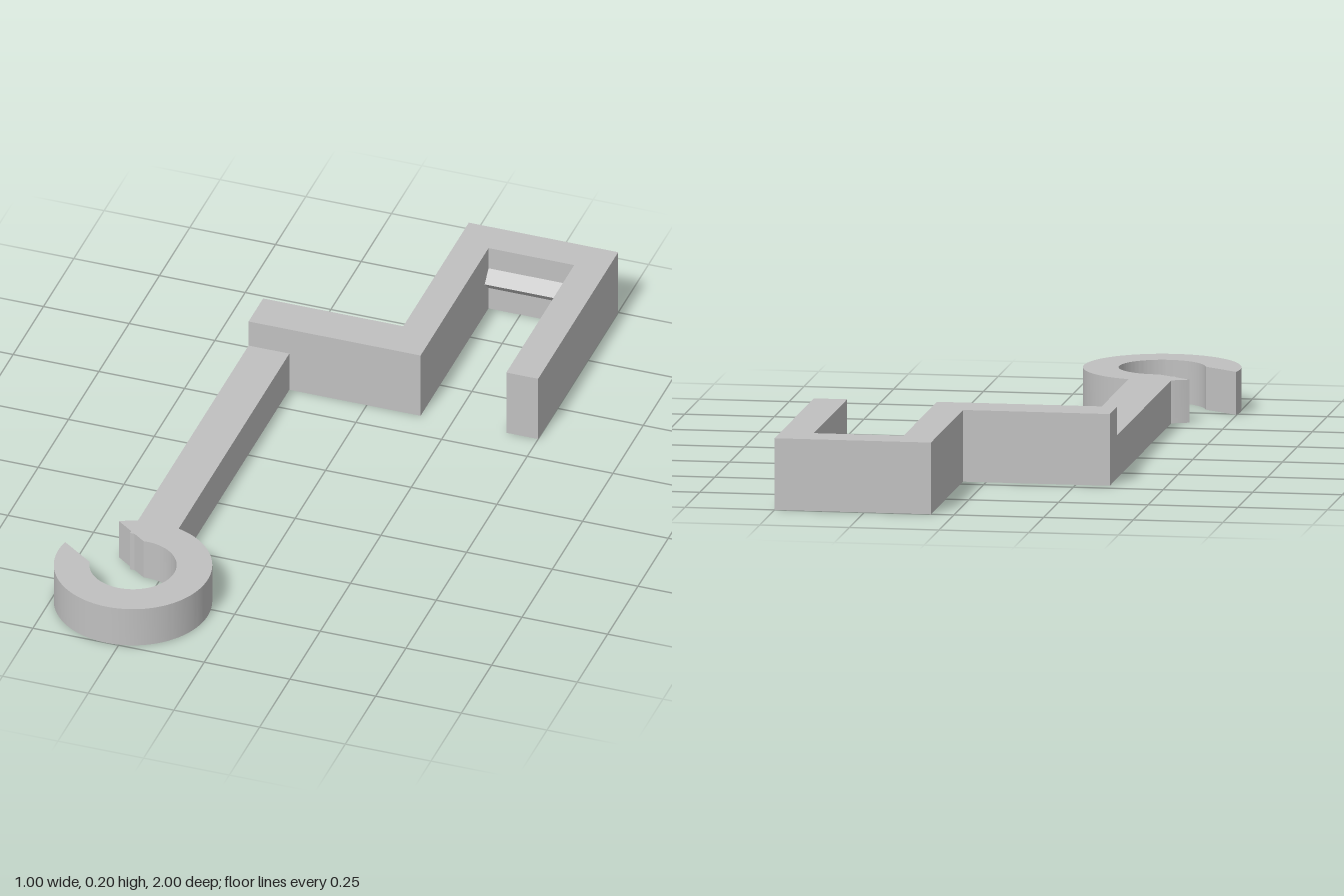
import * as THREE from 'three';
import { toCreasedNormals } from 'three/addons/utils/BufferGeometryUtils.js';

// Extrude a plan outline (drawn as x, -z) upward from the ground
function plate(shape, height) {
  const geo = new THREE.ExtrudeGeometry(shape, { depth: height, bevelEnabled: false, curveSegments: 72 });
  geo.rotateX(-Math.PI / 2);
  return toCreasedNormals(geo, 0.4);
}

const outline = (points) => new THREE.Shape(points.map(([x, z]) => new THREE.Vector2(x, -z)));

export function createModel() {
  const group = new THREE.Group();
  const grey = new THREE.MeshStandardMaterial({ color: 0xc0c0c0 });
  grey.name = 'grey';
  const add = (name, geo) => {
    const mesh = new THREE.Mesh(geo, grey);
    mesh.name = name;
    group.add(mesh);
    return mesh;
  };

  // Tall clip: a U-shaped bracket with a sideways foot
  add('clipBracket', plate(outline([
    [-0.345, -0.34], [0.157, -0.34], [0.157, -0.9], [0.407, -0.9], [0.407, -0.34],
    [0.5, -0.34], [0.5, -1], [0.064, -1], [0.064, -0.46], [-0.345, -0.46],
  ]), 0.2));

  // Triangular ridge inside the back of the clip, running along x
  const ridge = new THREE.Shape([
    new THREE.Vector2(0.9, 0.068), new THREE.Vector2(0.9, 0.133), new THREE.Vector2(0.868, 0.1),
  ]);
  const ridgeGeo = new THREE.ExtrudeGeometry(ridge, { depth: 0.25, bevelEnabled: false });
  ridgeGeo.rotateY(Math.PI / 2);
  add('clipRidge', ridgeGeo).position.x = 0.157;

  // Long low arm reaching into the ring
  add('arm', plate(outline([
    [-0.345, 0.637], [-0.226, 0.637], [-0.226, -0.34], [-0.345, -0.34],
  ]), 0.12));

  // Open ring with a straight-sided slot
  const outer = 0.218, inner = 0.12, halfSlot = 0.09;
  const axis = THREE.MathUtils.degToRad(144);
  const a = Math.asin(halfSlot / outer), b = Math.asin(halfSlot / inner);
  const ring = new THREE.Shape();
  ring.absarc(0, 0, outer, axis + a, axis - a + Math.PI * 2, false);
  ring.absarc(0, 0, inner, axis - b + Math.PI * 2, axis + b, true);
  ring.closePath();
  add('hookRing', plate(ring, 0.12)).position.set(-0.285, 0, 0.782);

  return group;
}
